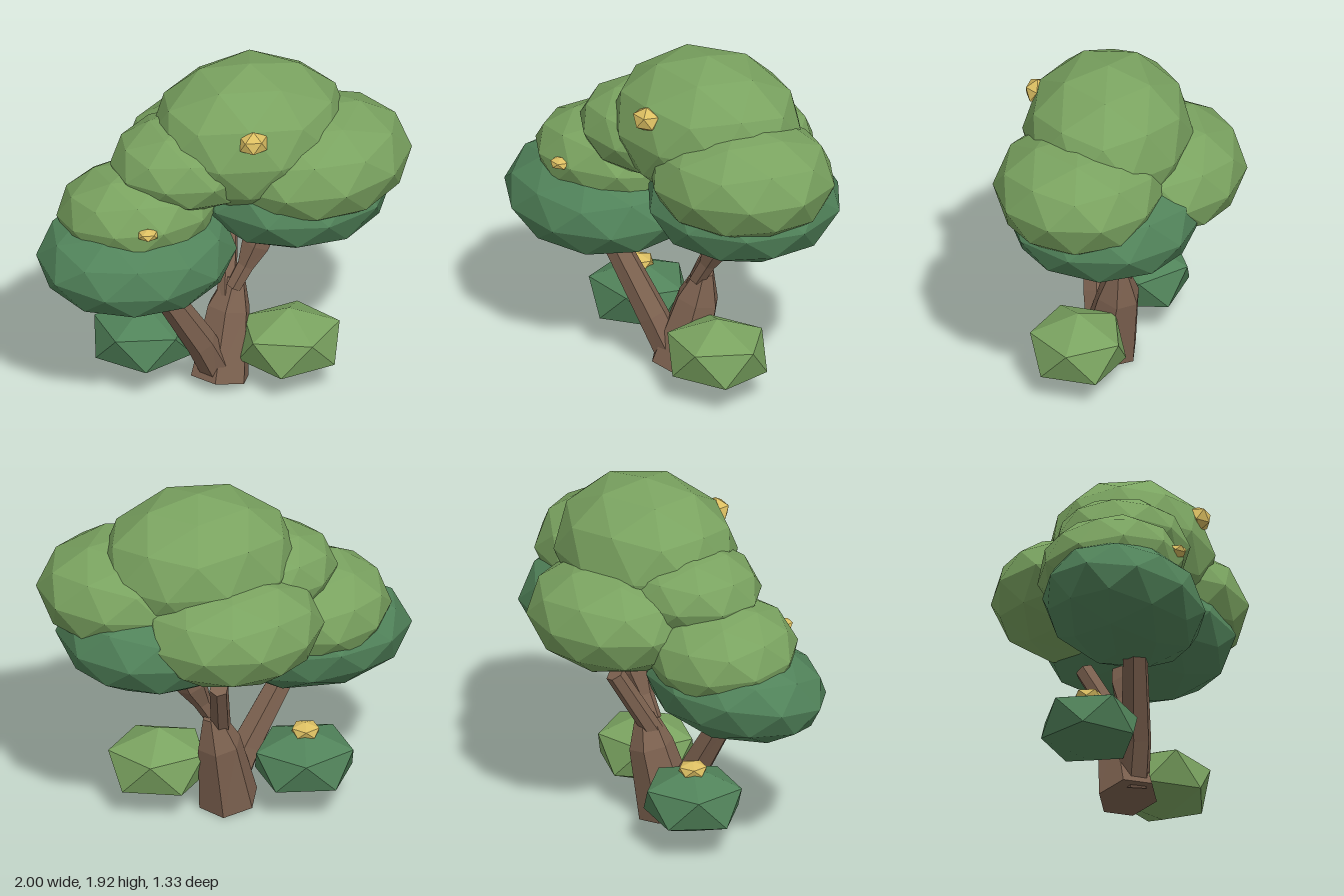
import * as THREE from 'three';

function mat(name, color) {
  const m = new THREE.MeshStandardMaterial({ color, flatShading: true });
  m.name = name;
  return m;
}

// Faceted ellipsoid with a vertex at the top, leaning by tiltX and tiltZ.
function blob(name, material, [x, y, z], [rx, ry, rz], { detail = 1, yaw = 0, tiltX = 0, tiltZ = 0 } = {}) {
  const g = new THREE.IcosahedronGeometry(1, detail);
  g.rotateZ(Math.atan(2 / (1 + Math.sqrt(5))));
  g.rotateY(Math.PI + yaw);
  g.scale(rx, ry, rz);
  g.computeVertexNormals();
  const mesh = new THREE.Mesh(g, material);
  mesh.name = name;
  mesh.position.set(x, y, z);
  mesh.rotation.set(tiltX, 0, tiltZ);
  return mesh;
}

// Tapered six-sided limb through rings given as [x, y, z, radius].
function limb(name, material, rings, sides = 6) {
  const centres = rings.map(r => new THREE.Vector3(r[0], r[1], r[2]));
  const pos = [], idx = [];
  rings.forEach((r, i) => {
    const dir = centres[Math.min(i + 1, rings.length - 1)].clone()
      .sub(centres[Math.max(i - 1, 0)]).normalize();
    const u = new THREE.Vector3(1, 0, 0).addScaledVector(dir, -dir.x).normalize();
    const v = new THREE.Vector3().crossVectors(dir, u);
    for (let k = 0; k < sides; k++) {
      const a = (k / sides) * Math.PI * 2;
      const q = centres[i].clone()
        .addScaledVector(u, Math.cos(a) * r[3])
        .addScaledVector(v, Math.sin(a) * r[3]);
      pos.push(q.x, q.y, q.z);
    }
  });
  for (let i = 0; i < rings.length - 1; i++) {
    for (let k = 0; k < sides; k++) {
      const a = i * sides + k, b = i * sides + (k + 1) % sides;
      idx.push(a, b, b + sides, a, b + sides, a + sides);
    }
  }
  const top = (rings.length - 1) * sides;
  for (let k = 1; k < sides - 1; k++) {
    idx.push(0, k + 1, k, top, top + k, top + k + 1);
  }
  const indexed = new THREE.BufferGeometry();
  indexed.setAttribute('position', new THREE.Float32BufferAttribute(pos, 3));
  indexed.setIndex(idx);
  const g = indexed.toNonIndexed();
  g.computeVertexNormals();
  const mesh = new THREE.Mesh(g, material);
  mesh.name = name;
  return mesh;
}

export function createModel() {
  const tree = new THREE.Group();
  tree.name = 'tree';
  const bark = mat('bark brown', 0x7d6250);
  const light = mat('light leaf green', 0x7aa360);
  const dark = mat('dark leaf green', 0x51835a);
  const gold = mat('golden yellow', 0xdcbf62);

  // Trunk and branches
  tree.add(
    limb('trunk', bark, [[0.01, 0.03, 0.08, 0.165], [0.085, 0.41, 0.02, 0.12], [0.125, 0.58, 0.015, 0.055]]),
    limb('leftBranch', bark, [[-0.01, 0.08, 0.11, 0.09], [-0.12, 0.3, 0.14, 0.085], [-0.41, 0.78, 0.17, 0.066]]),
    limb('backBranch', bark, [[0.07, 0.48, 0.03, 0.055], [0.16, 0.85, -0.17, 0.052]]),
    limb('rightBranch', bark, [[0.1, 0.54, 0.05, 0.045], [0.17, 0.66, 0.05, 0.05], [0.23, 0.78, 0.045, 0.085], [0.3, 0.95, 0.045, 0.09]]),
  );

  // Dark lower foliage
  tree.add(
    blob('leftLowerFoliage', dark, [-0.48, 0.925, 0.12], [0.545, 0.285, 0.44], { tiltX: 0.14 }),
    blob('rightLowerFoliage', dark, [0.425, 1.14, 0.08], [0.53, 0.295, 0.525]),
  );

  // Light upper foliage
  tree.add(
    blob('topFoliage', light, [0.185, 1.5, 0.07], [0.545, 0.41, 0.455]),
    blob('rightFoliage', light, [0.5, 1.345, 0.205], [0.525, 0.315, 0.46], { tiltZ: 0.06 }),
    blob('backFoliage', light, [0.11, 1.245, -0.23], [0.5, 0.3, 0.435]),
    blob('leftMiddleFoliage', light, [-0.16, 1.395, 0.065], [0.425, 0.25, 0.37]),
    blob('leftFoliage', light, [-0.45, 1.14, 0.045], [0.43, 0.27, 0.395], { tiltX: -0.14 }),
  );

  // Bushes at the base
  tree.add(
    blob('rightBush', light, [0.35, 0.25, 0.22], [0.305, 0.2, 0.285], { detail: 0, yaw: -0.2 }),
    blob('leftBush', dark, [-0.36, 0.275, -0.08], [0.305, 0.19, 0.29], { detail: 0 }),
  );

  // Golden blossoms
  tree.add(
    blob('topBlossom', gold, [0.055, 1.655, 0.45], [0.085, 0.07, 0.072], { detail: 0 }),
    blob('leftBlossom', gold, [-0.53, 1.2, 0.41], [0.06, 0.032, 0.055], { detail: 0 }),
    blob('bushBlossom', gold, [-0.365, 0.45, -0.085], [0.085, 0.045, 0.085], { detail: 0 }),
  );
  return tree;
}
